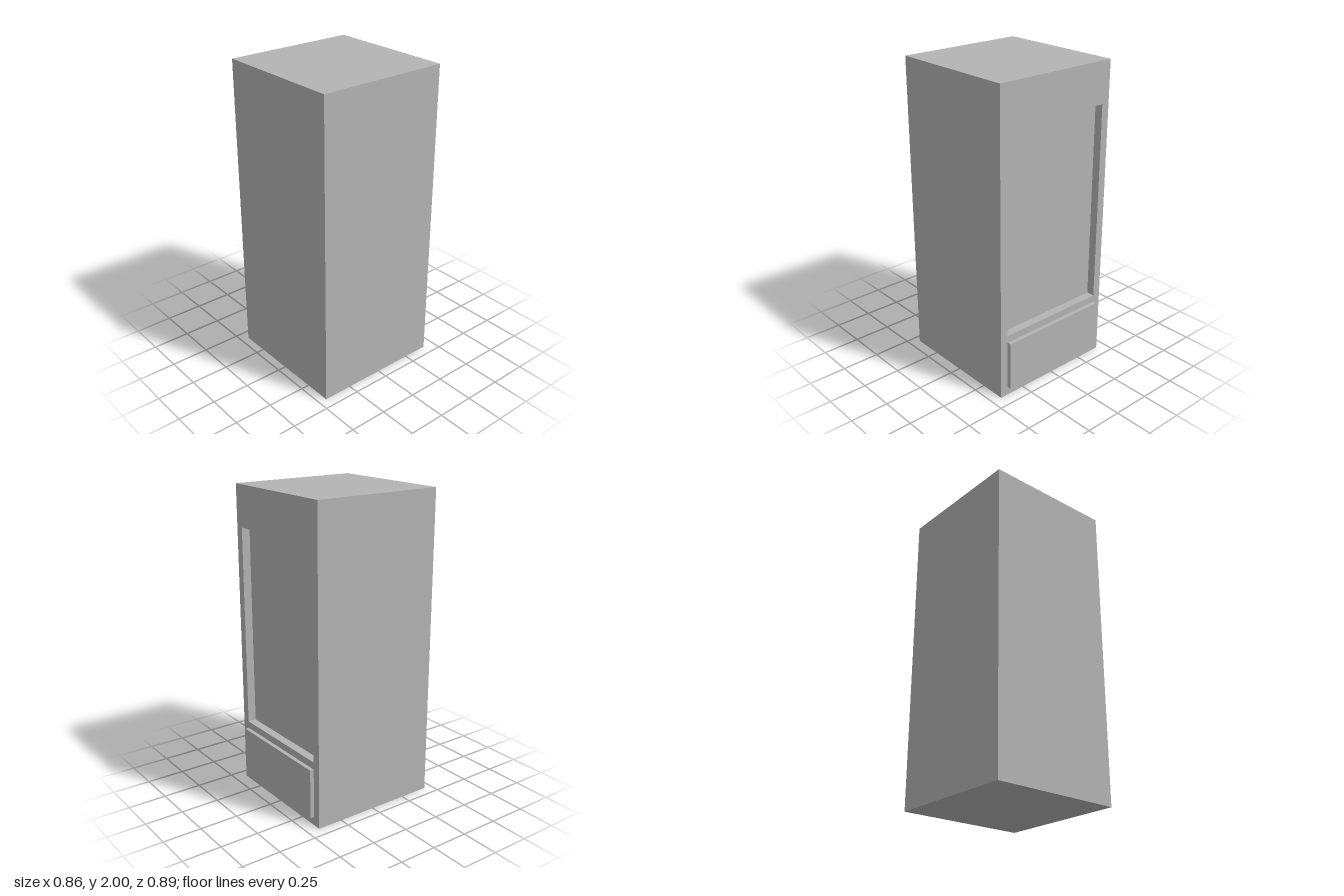
import * as THREE from 'three';

// Rectangular outline given by its edges
function rect(Type, x0, x1, y0, y1) {
  return new Type([
    new THREE.Vector2(x0, y0), new THREE.Vector2(x1, y0),
    new THREE.Vector2(x1, y1), new THREE.Vector2(x0, y1),
  ]);
}

export function createModel() {
  const group = new THREE.Group();
  const grey = new THREE.MeshStandardMaterial({ color: 0xb4b4b4 });
  grey.name = 'plainGrey';

  const halfWidth = 0.431, height = 2;
  const front = 0.446, back = -0.42, recessDepth = 0.055;
  const openHalf = 0.377, openBottom = 0.427, openTop = 1.734;

  const add = (name, geometry, x, y, z) => {
    const mesh = new THREE.Mesh(geometry, grey);
    mesh.name = name;
    mesh.position.set(x, y, z);
    group.add(mesh);
  };

  // Cabinet: one closed solid, with a shallow window recess in the back.
  // The frame has the opening cut out; the body closes it from behind.
  const outline = rect(THREE.Shape, -halfWidth, halfWidth, 0, height);
  outline.holes.push(rect(THREE.Path, -openHalf, openHalf, openBottom, openTop));
  add('recessFrame',
    new THREE.ExtrudeGeometry(outline, { depth: recessDepth, bevelEnabled: false }),
    0, 0, back);

  const bodyDepth = front - back - recessDepth;
  add('cabinetBody', new THREE.BoxGeometry(halfWidth * 2, height, bodyDepth),
    0, height / 2, front - bodyDepth / 2);

  // Raised panel below the recess
  const panelBottom = 0.056, panelTop = 0.38, panelDepth = 0.026;
  add('lowerPanel', new THREE.BoxGeometry(openHalf * 2, panelTop - panelBottom, panelDepth),
    0, (panelBottom + panelTop) / 2, back - panelDepth / 2);

  return group;
}
